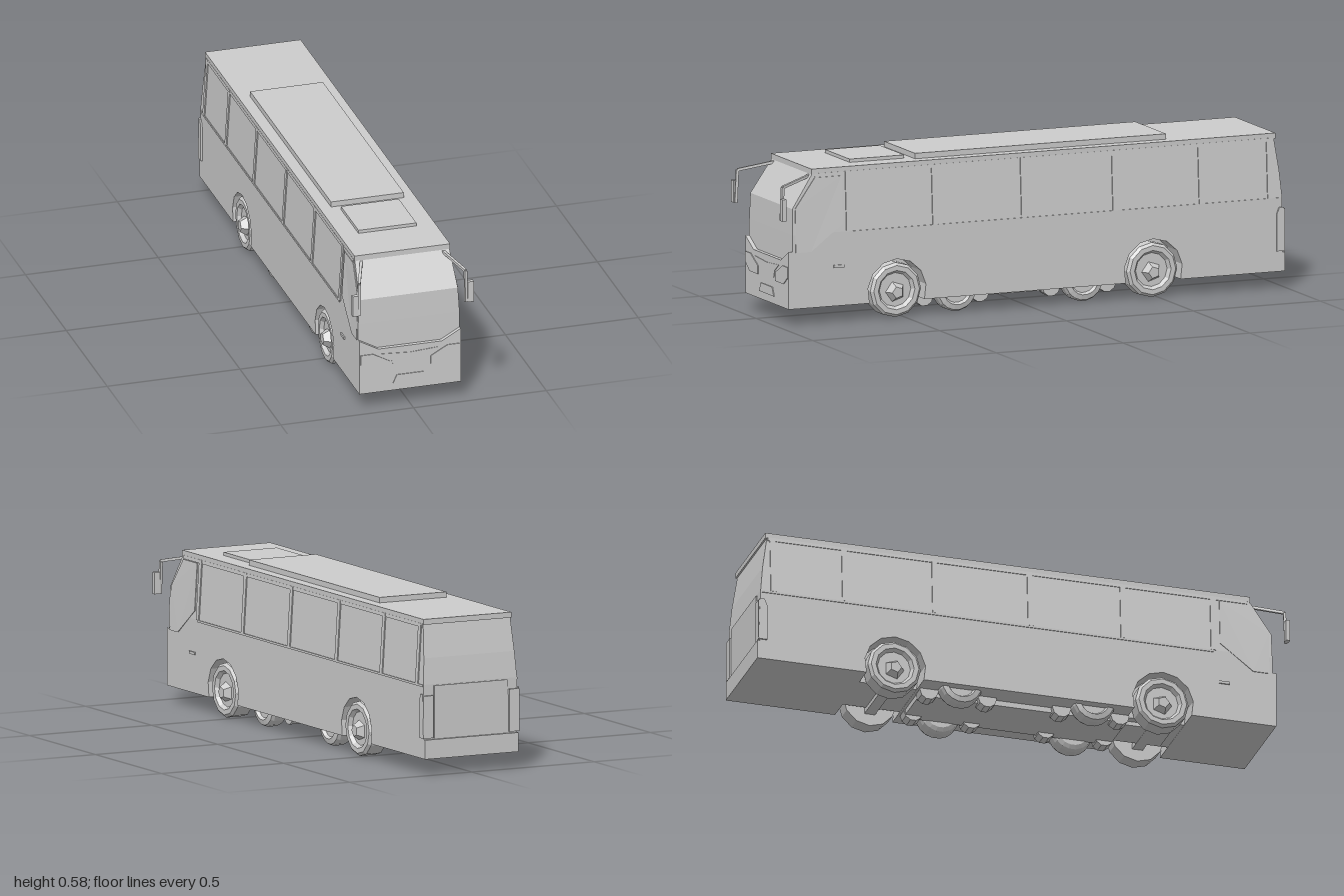
import * as THREE from 'three';

const grey = new THREE.MeshStandardMaterial({ color: 0xcccccc, flatShading: true });
grey.name = 'light grey';

const WHEEL_Z = [0.53, -0.48];
const WHEEL_Y = 0.1;

// Half width of the coach at a given height: the sides lean in above the sill
const halfWidth = (y) => 0.191 - 0.013 * Math.max(0, (y - 0.33) / 0.215);

export function createModel() {
  const model = new THREE.Group();
  model.name = 'coach';

  const add = (name, geometry, x = 0, y = 0, z = 0, parent = model) => {
    const mesh = new THREE.Mesh(geometry, grey);
    mesh.name = name;
    mesh.position.set(x, y, z);
    parent.add(mesh);
    return mesh;
  };
  const box = (name, x0, x1, y0, y1, z0, z1) =>
    add(name, new THREE.BoxGeometry(x1 - x0, y1 - y0, z1 - z0), (x0 + x1) / 2, (y0 + y1) / 2, (z0 + z1) / 2);
  const extrude = (points, depth) =>
    new THREE.ExtrudeGeometry(new THREE.Shape(points.map((p) => new THREE.Vector2(...p))), { depth, bevelEnabled: false });

  // Thin plate on a side wall, drawn in (z, y) and following the lean of the wall
  const sidePlate = (name, points, side, t) => {
    const geometry = extrude(points, t).rotateY(-Math.PI / 2);
    const p = geometry.attributes.position;
    for (let i = 0; i < p.count; i++) {
      const hw = halfWidth(p.getY(i));
      p.setX(i, side > 0 ? p.getX(i) + t + hw : p.getX(i) - hw);
    }
    geometry.computeVertexNormals();
    add(name, geometry);
  };

  // Lower body with wheel arches cut into its side profile
  const profile = [[-1, 0.06]];
  for (const z of [...WHEEL_Z].reverse()) {
    for (let i = 0; i <= 8; i++) {
      const a = THREE.MathUtils.degToRad(200 - 27.5 * i);
      profile.push([z + 0.115 * Math.cos(a), i % 8 ? WHEEL_Y + 0.115 * Math.sin(a) : 0.06]);
    }
  }
  profile.push([0.942, 0.06], [0.942, 0.33], [-0.988, 0.33], [-0.99, 0.13], [-1, 0.13]);
  add('lowerBody', extrude(profile, 0.382).translate(0, 0, -0.191).rotateY(-Math.PI / 2));
  box('floorCore', -0.1, 0.1, 0.061, 0.25, -0.65, 0.7);

  // Upper body lofted from rectangles: [y, front z, back z]
  const rings = [[0.33, 0.942, -0.988], [0.425, 0.94, -0.979], [0.55, 0.857, -0.96]];
  const vertices = [];
  const index = [];
  rings.forEach(([y, f, b], r) => {
    const w = halfWidth(y);
    vertices.push(w, y, f, w, y, b, -w, y, b, -w, y, f);
    if (r === 0) return;
    for (let i = 0; i < 4; i++) {
      const j = (i + 1) % 4;
      const lo = (r - 1) * 4;
      const hi = r * 4;
      index.push(lo + i, lo + j, hi + j, lo + i, hi + j, hi + i);
    }
  });
  const upper = new THREE.BufferGeometry();
  upper.setAttribute('position', new THREE.Float32BufferAttribute(vertices, 3));
  upper.setIndex(index);
  const upperFlat = upper.toNonIndexed();
  upperFlat.computeVertexNormals();
  add('upperBody', upperFlat);

  // Roof and roof units
  box('roof', -0.18, 0.18, 0.545, 0.565, -0.967, 0.862);
  box('airConditioner', -0.137, 0.137, 0.565, 0.585, -0.555, 0.435);
  box('roofHatch', -0.109, 0.109, 0.565, 0.577, 0.465, 0.68);

  // Nose panel below the windscreen, with lamps, grille and plate
  add('nosePanel', extrude([[-0.191, 0.06], [0.191, 0.06], [0.191, 0.27], [0.12, 0.23], [-0.12, 0.23], [-0.191, 0.27]], 0.015), 0, 0, 0.942);
  const lamp = [[0.077, 0.147], [0.15, 0.147], [0.186, 0.175], [0.186, 0.213], [0.14, 0.213], [0.077, 0.178]];
  for (const s of [1, -1]) add('headlight', extrude(lamp.map(([x, y]) => [s * x, y]), 0.003), 0, 0, 0.957);
  add('grille', extrude([[-0.062, 0.157], [0, 0.152], [0.062, 0.157], [0.072, 0.185], [0.107, 0.21], [0, 0.203], [-0.107, 0.21], [-0.072, 0.185]], 0.002), 0, 0, 0.957);
  add('frontPlate', extrude([[-0.065, 0.088], [0.065, 0.088], [0.05, 0.12], [-0.05, 0.12]], 0.003), 0, 0, 0.957);

  // Rear panel and plate
  box('rearPanel', -0.15, 0.15, 0.135, 0.325, -0.993, -0.985);
  box('rearPlate', -0.065, 0.065, 0.08, 0.11, -1.0, -0.996);

  for (const s of [1, -1]) {
    // Window pillars, sill and top rail
    for (const z of [0.72, 0.38, 0.03, -0.33, -0.67, -0.94]) {
      sidePlate('windowPillar', [[z - 0.01, 0.33], [z + 0.01, 0.33], [z + 0.01, 0.548], [z - 0.01, 0.548]], s, 0.004);
    }
    sidePlate('windowSill', [[-0.985, 0.322], [0.72, 0.322], [0.72, 0.33], [-0.985, 0.33]], s, 0.003);
    sidePlate('windowRail', [[-0.958, 0.535], [0.85, 0.535], [0.85, 0.548], [-0.958, 0.548]], s, 0.003);
    // Front quarter window
    sidePlate('quarterWindow', [[0.87, 0.265], [0.93, 0.265], [0.93, 0.425], [0.85, 0.533], [0.745, 0.533], [0.745, 0.36]], s, 0.003);
    sidePlate('sideMarker', [[0.74, 0.2], [0.78, 0.2], [0.78, 0.21], [0.74, 0.21]], s, 0.005);

    // Tail lamp wrapped round the corner
    const tail = [[-0.997, 0.135], [-0.965, 0.135], [-0.965, 0.27], [-0.975, 0.295], [-0.992, 0.295]];
    sidePlate('tailLampSide', tail, s, 0.006);
    box('tailLampBack', Math.min(s * 0.155, s * 0.196), Math.max(s * 0.155, s * 0.196), 0.135, 0.29, -0.997, -0.98);

    // Mirror on a bent arm
    const arm = [[0.15, 0.54, 0.85], [0.2, 0.51, 0.985], [0.201, 0.39, 0.99]].map(([x, y, z]) => new THREE.Vector3(s * x, y, z));
    for (let i = 0; i < 2; i++) {
      const length = arm[i].distanceTo(arm[i + 1]);
      const rod = add('mirrorArm', new THREE.BoxGeometry(0.01, 0.01, length));
      rod.position.lerpVectors(arm[i], arm[i + 1], 0.5);
      rod.lookAt(arm[i + 1]);
    }
    add('mirror', new THREE.BoxGeometry(0.022, 0.08, 0.016), s * 0.217, 0.43, 0.99);

    // Road wheels with dished rims and five-sided hub caps
    const roadWheel = [[0, 0], [0.1, 0], [0.1, 0.06], [0.09, 0.07], [0.072, 0.07], [0.062, 0.056], [0, 0.056]];
    const innerWheel = [[0, 0], [0.06, 0], [0.074, 0.008], [0.08, 0.02], [0.08, 0.055], [0.074, 0.067], [0.055, 0.072], [0.048, 0.06], [0, 0.06]];
    const lathe = (points, sides) =>
      new THREE.LatheGeometry(points.map((p) => new THREE.Vector2(...p)), sides).rotateZ(-s * Math.PI / 2);
    for (const z of WHEEL_Z) {
      add('wheel', lathe(roadWheel, 12), s * 0.118, WHEEL_Y, z);
      add('hubCap', new THREE.CylinderGeometry(0.022, 0.038, 0.026, 5).rotateZ(-s * Math.PI / 2), s * 0.187, WHEEL_Y - 0.007, z);
    }

    // Inner running gear under the floor
    for (const z of [0.28, -0.22]) {
      add('innerWheel', lathe(innerWheel, 18), s * 0.096, 0.08, z);
      for (const dz of [0.11, -0.11]) {
        add('brakeUnit', new THREE.CylinderGeometry(0.035, 0.035, 0.05, 10).rotateZ(Math.PI / 2), s * 0.095, 0.055, z + dz);
      }
    }
  }

  // Chassis belly and axles
  box('chassisBelly', -0.1, 0.1, 0.04, 0.062, -0.36, 0.42);
  box('crossMember', -0.07, 0.07, 0.046, 0.062, 0.42, 0.6);
  for (const z of WHEEL_Z) box('axle', -0.12, 0.12, 0.045, 0.065, z - 0.02, z + 0.02);

  return model;
}
